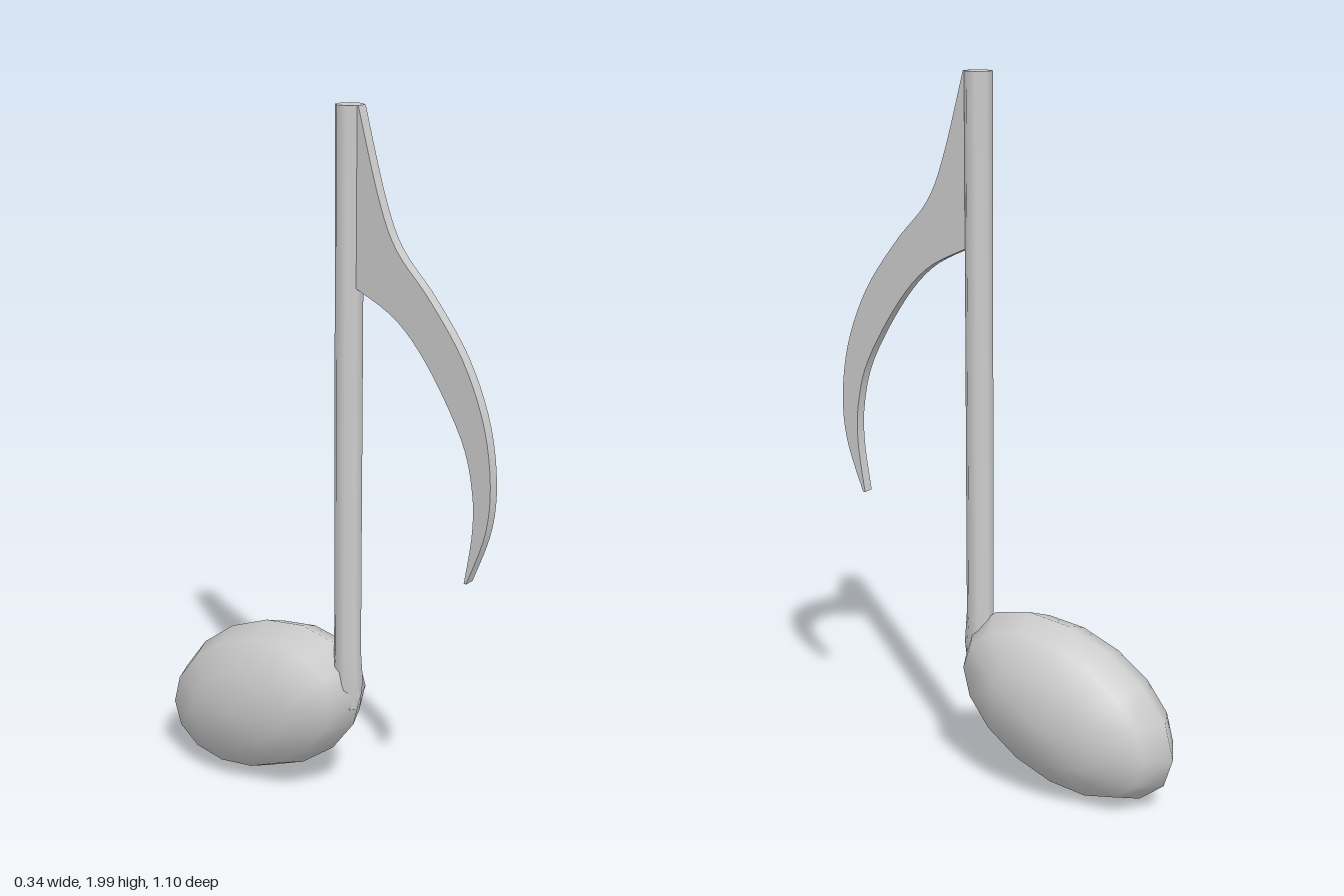
import * as THREE from 'three';
import { toCreasedNormals } from 'three/addons/utils/BufferGeometryUtils.js';

const grey = new THREE.MeshStandardMaterial({ color: 0xcccccc });
const STEM_Z = 0.083;

function addPart(group, name, geometry) {
  const mesh = new THREE.Mesh(geometry, grey);
  mesh.name = name;
  group.add(mesh);
  return mesh;
}

const points = (list) => list.map(([z, y]) => new THREE.Vector2(z, y));

export function createModel() {
  const group = new THREE.Group();
  group.name = 'musicalNote';

  // Note head: coarse sphere with its poles on x, squashed and tilted
  const head = new THREE.SphereGeometry(1, 16, 6);
  head.rotateZ(-Math.PI / 2);
  head.rotateX(THREE.MathUtils.degToRad(15));
  head.scale(0.172, 0.223, 0.358);
  head.rotateX(THREE.MathUtils.degToRad(-23.8));
  addPart(group, 'noteHead', head).position.set(0, 0.255, -0.21);

  // Stem: eight-sided post, slightly flared where it joins the head
  const stem = new THREE.LatheGeometry(
    points([[0, 0.3], [0.036, 0.3], [0.044, 0.38], [0.038, 0.47], [0.038, 2], [0, 2]]), 8);
  stem.rotateY(Math.PI / 8);
  stem.scale(1.03, 1, 1.03);
  addPart(group, 'stem', toCreasedNormals(stem, 0.9)).position.z = STEM_Z;

  // Flag: curved blade drawn in z and y, extruded across x
  const outline = new THREE.Shape();
  outline.moveTo(0.1, 1.52);
  outline.lineTo(0.1, 2);
  outline.lineTo(0.122, 2);
  outline.splineThru(points([
    [0.188, 1.77], [0.246, 1.64], [0.35, 1.525], [0.457, 1.38],
    [0.526, 1.22], [0.552, 1.06], [0.54, 0.92], [0.485, 0.77],
  ]));
  outline.lineTo(0.478, 0.77);
  outline.splineThru(points([
    [0.5, 0.92], [0.495, 1.04], [0.457, 1.17], [0.35, 1.345], [0.246, 1.455], [0.12, 1.52],
  ]));
  const flag = new THREE.ExtrudeGeometry(outline, { depth: 0.032, bevelEnabled: false, curveSegments: 4 });
  flag.translate(0, 0, -0.016);
  flag.rotateY(-Math.PI / 2);
  addPart(group, 'flag', toCreasedNormals(flag, 0.6));

  return group;
}
